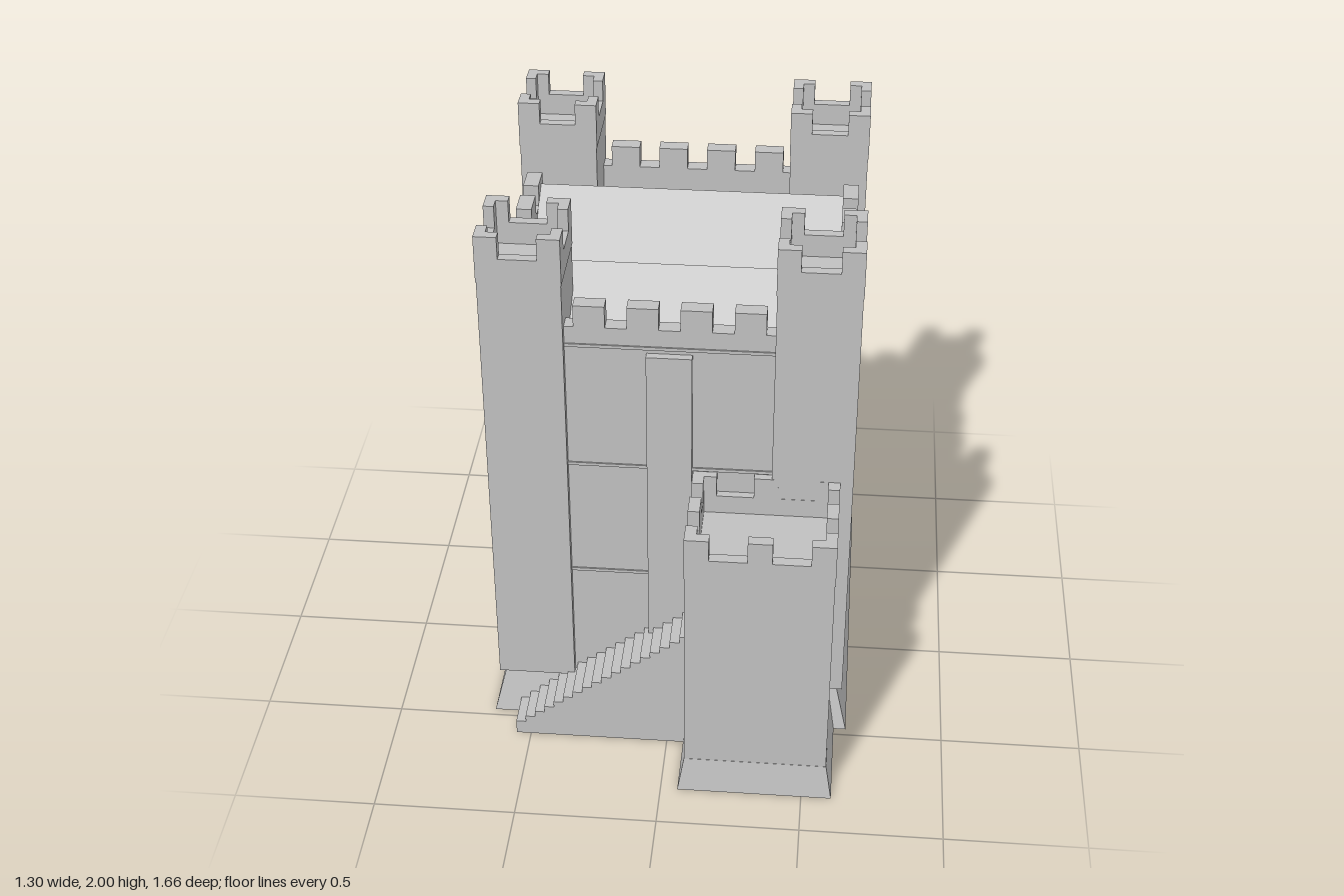
import * as THREE from 'three';

const stone = new THREE.MeshStandardMaterial({ color: 0xc0c0c0 });
stone.name = 'grey stone';

const CZ = -0.18; // centre of the square keep in z

function add(parent, name, geometry) {
  const mesh = new THREE.Mesh(geometry, stone);
  mesh.name = name;
  parent.add(mesh);
  return mesh;
}

// Box given by its limits on each axis
function block(parent, name, x0, x1, y0, y1, z0, z1) {
  const mesh = add(parent, name, new THREE.BoxGeometry(x1 - x0, y1 - y0, z1 - z0));
  mesh.position.set((x0 + x1) / 2, (y0 + y1) / 2, (z0 + z1) / 2);
  return mesh;
}

// Block whose top is drawn in by an amount on the x sides, back and front
function batter(parent, name, x0, x1, h, z0, z1, inX, inBack, inFront) {
  const geo = new THREE.BoxGeometry(x1 - x0, h, z1 - z0);
  const p = geo.attributes.position;
  for (let i = 0; i < p.count; i++) {
    if (p.getY(i) < 0) continue;
    p.setX(i, p.getX(i) - Math.sign(p.getX(i)) * inX);
    p.setZ(i, p.getZ(i) + (p.getZ(i) > 0 ? -inFront : inBack));
  }
  geo.computeVertexNormals();
  add(parent, name, geo.toNonIndexed()).position.set((x0 + x1) / 2, h / 2, (z0 + z1) / 2);
}

// Square turret top: low walls round a sunken floor, with n merlons per side
function crown(parent, x0, x1, z0, z1, floor, sill, top, t, n, w) {
  const g = new THREE.Group();
  g.name = 'crown';
  parent.add(g);
  for (const z of [z0, z1 - t]) block(g, 'parapet', x0, x1, floor, sill, z, z + t);
  for (const x of [x0, x1 - t]) block(g, 'parapet', x, x + t, floor, sill, z0 + t, z1 - t);
  for (let i = 0; i < n; i++) {
    const k = i / (n - 1);
    const mx = x0 + k * (x1 - x0 - w);
    const mz = z0 + k * (z1 - z0 - w);
    for (const z of [z0, z1 - t]) block(g, 'merlon', mx, mx + w, sill, top, z, z + t);
    // side merlons stop short at the corners, which the others already fill
    const a = Math.max(mz, z0 + t), b = Math.min(mz + w, z1 - t);
    for (const x of [x0, x1 - t]) block(g, 'merlon', x, x + t, sill, top, a, b);
  }
}

// One wall face of the keep, built facing +z about the keep centre
function wallFace(half) {
  const g = new THREE.Group();
  g.name = 'wallFace';
  block(g, 'parapet', -0.36, 0.36, 1.5, 1.66, half - 0.055, half);
  for (let i = 0; i < 4; i++) {
    const x = (i - 1.5) * 0.178;
    block(g, 'merlon', x - 0.0525, x + 0.0525, 1.66, 1.74, half - 0.055, half);
  }
  block(g, 'buttress', -0.077, 0.077, 0.175, 1.57, half - 0.02, half + 0.028);
  for (const y of [0.65, 1.11, 1.59])
    block(g, 'stringCourse', -0.36, 0.36, y - 0.006, y + 0.006, half - 0.01, half + 0.005);
  return g;
}

export function createModel() {
  const castle = new THREE.Group();
  castle.name = 'castleKeep';

  // Main body with sloping plinth
  const keep = new THREE.Group();
  keep.name = 'keep';
  keep.position.z = CZ;
  castle.add(keep);
  batter(keep, 'plinth', -0.65, 0.65, 0.18, -0.65, 0.65, 0.045, 0.045, 0.045);
  block(keep, 'body', -0.602, 0.602, 0.17, 1.52, -0.602, 0.602);
  for (let i = 0; i < 4; i++) {
    const face = wallFace(0.602);
    face.rotation.y = i * Math.PI / 2;
    keep.add(face);
  }

  // Corner towers
  for (const sx of [-1, 1]) {
    for (const sz of [-1, 1]) {
      const tower = new THREE.Group();
      tower.name = 'cornerTower';
      tower.position.set(sx * 0.49, 0, sz * 0.49);
      keep.add(tower);
      block(tower, 'shaft', -0.139, 0.139, 0.175, 1.84, -0.139, 0.139);
      crown(tower, -0.141, 0.141, -0.141, 0.141, 1.83, 1.92, 2, 0.036, 2, 0.077);
    }
  }

  // Double pitched roof: ridges and valley run along x
  const profile = new THREE.Shape([
    [-0.345, 1.5], [0.735, 1.5], [0.735, 1.55], [0.46, 1.715],
    [0.2, 1.55], [-0.08, 1.715], [-0.345, 1.55],
  ].map(([x, y]) => new THREE.Vector2(x, y)));
  const roofGeo = new THREE.ExtrudeGeometry(profile, { depth: 1.096, bevelEnabled: false });
  roofGeo.translate(0, 0, -0.548);
  roofGeo.rotateY(Math.PI / 2);
  add(castle, 'roof', roofGeo);

  // Forebuilding at the front
  const fore = new THREE.Group();
  fore.name = 'forebuilding';
  castle.add(fore);
  batter(fore, 'forePlinth', 0.06, 0.606, 0.13, 0.38, 0.835, 0.022, 0, 0.022);
  block(fore, 'foreBody', 0.082, 0.583, 0.12, 0.95, 0.4, 0.812);
  crown(fore, 0.08, 0.585, 0.41, 0.815, 0.94, 1.02, 1.1, 0.04, 3, 0.083);

  // Outer stair climbing to the forebuilding
  const stair = new THREE.Group();
  stair.name = 'stair';
  castle.add(stair);
  const steps = 18, run = 0.635 / steps;
  for (let i = 0; i < steps; i++) {
    const x = -0.553 + i * run;
    block(stair, 'step', x, x + run, 0, 0.055 + i * 0.0259, 0.4, 0.588);
  }
  return castle;
}
